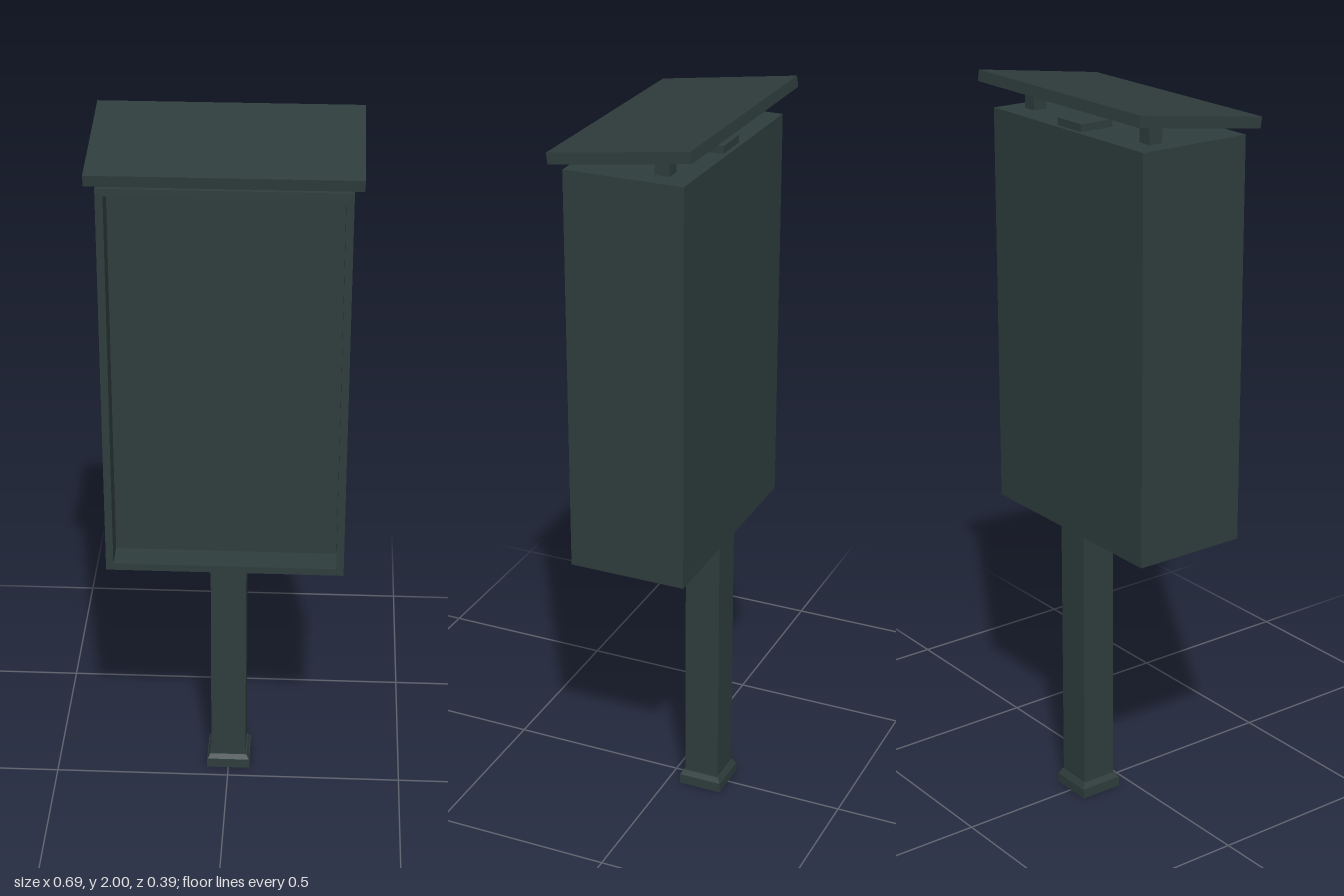
import * as THREE from 'three';

export function createModel() {
  const model = new THREE.Group();
  model.name = 'postMountedCabinet';
  const paint = new THREE.MeshStandardMaterial({ color: 0x2f3d3d });
  paint.name = 'dark slate green';

  const add = (name, geometry, x, y, z) => {
    const mesh = new THREE.Mesh(geometry, paint);
    mesh.name = name;
    mesh.position.set(x, y, z);
    model.add(mesh);
    return mesh;
  };
  const box = (name, w, h, d, x, y, z) => add(name, new THREE.BoxGeometry(w, h, d), x, y, z);

  const postZ = -0.1;

  // Foot: square plate with a small chamfered collar
  box('footPlate', 0.124, 0.028, 0.124, 0, 0.014, postZ);
  const collar = new THREE.CylinderGeometry(0.053 * Math.SQRT2, 0.06 * Math.SQRT2, 0.014, 4).toNonIndexed();
  collar.rotateY(Math.PI / 4);
  collar.computeVertexNormals();
  add('footCollar', collar, 0, 0.035, postZ);

  // Post runs up behind the display recess and pokes out of the cabinet top
  box('post', 0.1, 1.92, 0.1, 0, 0.96, postZ);

  // Cabinet: closed body with a shallow open recess framed at the front
  const halfW = 0.32, bottom = 0.8, top = 1.9, back = -0.162, front = 0.163, recess = 0.08, rim = 0.02;
  const bodyDepth = front - recess - back;
  box('cabinetBody', halfW * 2, top - bottom, bodyDepth, 0, (top + bottom) / 2, back + bodyDepth / 2);

  const rectangle = (path, w, y0, y1) => {
    path.moveTo(-w, y0);
    path.lineTo(w, y0);
    path.lineTo(w, y1);
    path.lineTo(-w, y1);
    path.closePath();
    return path;
  };
  const frame = rectangle(new THREE.Shape(), halfW, bottom, top);
  frame.holes.push(rectangle(new THREE.Path(), halfW - rim, bottom + rim, top - rim));
  add('displayFrame', new THREE.ExtrudeGeometry(frame, { depth: recess, bevelEnabled: false }), 0, 0, front - recess);

  // Two short brackets carry the sloping roof
  for (const side of [-1, 1]) {
    box('roofBracket', 0.04, 0.065, 0.04, side * 0.245, 1.9275, -0.08);
  }

  // Roof slopes down toward the front
  const roof = box('roof', 0.69, 0.03, 0.388, 0, 1.958, 0);
  roof.rotation.x = THREE.MathUtils.degToRad(8);

  return model;
}
